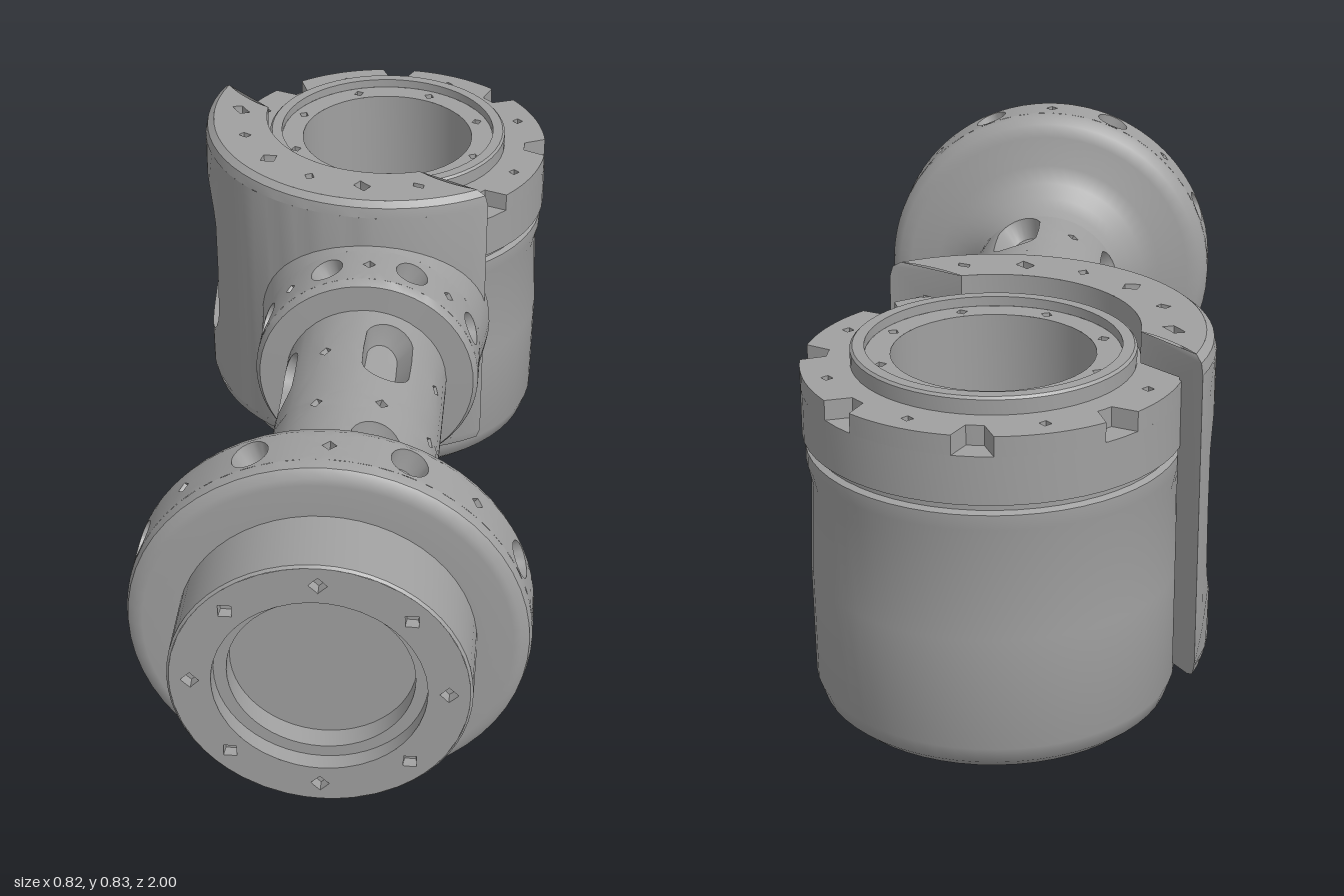
import * as THREE from 'three';
import { mergeGeometries, toCreasedNormals } from 'three/addons/utils/BufferGeometryUtils.js';

const DEG = Math.PI / 180;
const CX = 0.015;
const metal = new THREE.MeshStandardMaterial({ color: 0xa0a0a0, side: THREE.DoubleSide });
metal.name = 'grey metal';

// Joins geometries into one named mesh with crisp edges
function part(name, geos, rule) {
  const clean = geos.map((g) => {
    const n = g.index ? g.toNonIndexed() : g;
    n.deleteAttribute('uv');
    n.deleteAttribute('normal');
    return n;
  });
  const merged = mergeGeometries(clean);
  if (rule) rule(merged.attributes.position);
  merged.computeVertexNormals();
  const mesh = new THREE.Mesh(toCreasedNormals(merged, 0.6), metal);
  mesh.name = name;
  return mesh;
}

function lathe(points, from = 0, to = 360, segs = 56) {
  const pts = points.map(([r, y]) => new THREE.Vector2(r, y));
  return new THREE.LatheGeometry(pts, segs, from * DEG, (to - from) * DEG);
}

// Surface maps: u is an angle, v runs along the axis or (negated) along the radius, d is depth
const wall = (r) => (u, v, d) => [(r - d) * Math.sin(u), v, (r - d) * Math.cos(u)];
const face = (y) => (u, v, d) => [-v * Math.sin(u), y - d, -v * Math.cos(u)];

// Patch of a surface with a sunken hole in its middle
function pitPatch(map, r, u0, u1, v0, v1, { w, h = w, depth, square = false, taper = 0.85 }) {
  const N = 24, uc = (u0 + u1) / 2 * DEG, vc = (v0 + v1) / 2;
  const hu = (u1 - u0) / 2 * DEG, hv = (v1 - v0) / 2;
  const pos = [], idx = [];
  const rect = (c, s) => { const k = 1 / Math.max(Math.abs(c), Math.abs(s)); return [hu * c * k, hv * s * k]; };
  const hole = (c, s) => {
    if (square) { const k = 1 / (Math.abs(c) + Math.abs(s)); return [w * c * k / r, h * s * k]; }
    const straight = Math.abs(s) < 1e-6 ? 0 : Math.sign(s) * (h - w);
    return [w * c / r, straight + w * s];
  };
  const levels = [[0, 1, 0], [0.5, 1, 0], [1, 1, 0], [1, 1, 0.006], [1, taper, depth]];
  for (const [t, k, d] of levels) {
    for (let i = 0; i < N; i++) {
      const a = i / N * Math.PI * 2, c = Math.cos(a), s = Math.sin(a);
      const p = rect(c, s), q = hole(c, s);
      pos.push(...map(uc + (p[0] * (1 - t) + q[0] * t) * k, vc + (p[1] * (1 - t) + q[1] * t) * k, d));
    }
  }
  pos.push(...map(uc, vc, depth));
  for (let i = 0; i < N; i++) {
    const j = (i + 1) % N;
    for (let l = 0; l < levels.length - 1; l++) {
      const o = l * N, n = o + N;
      idx.push(o + i, o + j, n + j, o + i, n + j, n + i);
    }
    const last = (levels.length - 1) * N;
    idx.push(last + i, last + j, levels.length * N);
  }
  const g = new THREE.BufferGeometry();
  g.setAttribute('position', new THREE.Float32BufferAttribute(pos, 3));
  g.setIndex(idx);
  return g;
}

// Full ring of eight patches, alternating two kinds of hole
function pitRing(map, r, first, v0, v1, holeA, holeB) {
  return Array.from({ length: 8 }, (_, i) => {
    const c = first + i * 45;
    return pitPatch(map, r, c - 22.5, c + 22.5, v0, v1, i % 2 ? holeB : holeA);
  });
}

// Ring of sixteen narrow patches: port, socket, port, socket...
function rimRing(r, v0, v1, port, socket) {
  return Array.from({ length: 16 }, (_, i) => {
    const c = i * 22.5;
    return pitPatch(wall(r), r, c - 11.25, c + 11.25, v0, v1, i % 2 ? port : socket);
  });
}

const socket = { w: 0.014, depth: 0.02, square: true };
const port = { w: 0.038, depth: 0.045 };
const slot = { w: 0.056, h: 0.104, depth: 0.05, taper: 0.9 };

function buildArm() {
  const arm = new THREE.Group();
  arm.name = 'arm';
  // Tube with two rows of slots
  const tube = wall(0.18);
  arm.add(part('armTube', [
    ...pitRing(tube, 0.18, 70, -0.05, 0.26, slot, socket),
    ...pitRing(tube, 0.18, 70, 0.26, 0.34, socket, socket),
    ...pitRing(tube, 0.18, 70, 0.34, 0.6, { ...slot, h: 0.1 }, socket),
  ]));
  // Flared flange with ports round its rim
  arm.add(part('endFlange', [
    lathe([[0.18, 0.57], [0.187, 0.6], [0.205, 0.635], [0.235, 0.662], [0.275, 0.678], [0.345, 0.686],
      [0.375, 0.695], [0.39, 0.71], [0.395, 0.725]]),
    ...rimRing(0.395, 0.725, 0.815, port, socket),
    lathe([[0.395, 0.815], [0.39, 0.835], [0.375, 0.848], [0.36, 0.85], [0.28, 0.85]]),
  ]));
  // Spigot with a stepped recess and eight sockets in its face
  arm.add(part('spigot', [
    lathe([[0.29, 0.84], [0.29, 0.995], [0.285, 1]]),
    ...pitRing(face(1), 0.245, 0, -0.285, -0.205, { ...socket, w: 0.018 }, { ...socket, w: 0.018 }),
    lathe([[0.205, 1], [0.205, 0.965], [0.18, 0.965], [0.18, 0.92], [0, 0.92]]),
  ]));
  // Collar against the joint housing
  arm.add(part('collar', [
    lathe([[0.265, -0.3], [0.258, -0.24], [0.25, -0.18]]),
    ...rimRing(0.25, -0.18, -0.06, port, socket),
    lathe([[0.25, -0.06], [0.24, -0.042], [0.17, -0.04]]),
  ]));
  arm.rotation.x = Math.PI / 2;
  arm.position.set(CX, 0.432, 0);
  return arm;
}

function circlePath(r, x = 0, y = 0) {
  return new THREE.Path().absarc(x, y, r, 0, Math.PI * 2, true);
}

function polyPath(points) {
  return new THREE.Path(points.map(([x, y]) => new THREE.Vector2(x, y)));
}

function buildDrum(drum) {
  drum.add(part('drumBody', [lathe([[0.3, 0], [0.33, 0.01], [0.352, 0.03], [0.364, 0.065], [0.367, 0.3],
    [0.36, 0.49], [0.369, 0.53], [0.369, 0.56], [0.357, 0.565], [0.357, 0.578], [0.375, 0.583],
    [0.375, 0.68], [0.27, 0.68]])]));

  // Notched top ring with small sockets
  const outline = Array.from({ length: 120 }, (_, i) => {
    const a = i * 3 * DEG, r = (i + 1) % 15 < 3 ? 0.325 : 0.375;
    return new THREE.Vector2(r * Math.cos(a), r * Math.sin(a));
  });
  const ring = new THREE.Shape(outline);
  ring.holes.push(circlePath(0.24));
  for (let i = 0; i < 8; i++) {
    const a = (i + 0.5) * 45 * DEG, x = 0.33 * Math.cos(a), y = 0.33 * Math.sin(a), s = 0.012;
    ring.holes.push(polyPath([[x - s, y], [x, y + s], [x + s, y], [x, y - s]]));
  }
  drum.add(part('notchedRing', [new THREE.ExtrudeGeometry(ring, { depth: 0.04, bevelEnabled: false, curveSegments: 24 })
    .rotateX(-Math.PI / 2).translate(0, 0.68, 0)]));

  // Raised hub, deep bore and cable hole
  drum.add(part('hubBore', [
    lathe([[0.278, 0.71], [0.278, 0.75], [0.273, 0.755], [0.25, 0.755], [0.25, 0.735]]),
    ...pitRing(face(0.735), 0.225, 22.5, -0.25, -0.2, { ...socket, w: 0.012 }, { ...socket, w: 0.012 }),
    lathe([[0.2, 0.735], [0.2, 0.42], [0.13, 0.42], [0.13, 0.38], [0.09, 0.38], [0.09, 0.3]]),
  ]));

  // Underside plate with a cable slot and a barred window
  const plate = new THREE.Shape().absarc(0, 0, 0.302, 0, Math.PI * 2, false);
  plate.holes.push(new THREE.Path().absarc(0, 0, 0.092, Math.PI / 2, Math.PI * 1.5, false)
    .absarc(0.17, 0.02, 0.075, -Math.PI / 2, Math.PI / 2, false));
  for (const [a, b] of [[-0.16, -0.06], [-0.045, 0.045], [0.06, 0.16]]) {
    plate.holes.push(polyPath([[a, -0.12], [b, -0.12], [b * 0.85, -0.24], [a * 0.85, -0.24]]));
  }
  drum.add(part('undersidePlate', [new THREE.ExtrudeGeometry(plate, { depth: 0.05, bevelEnabled: false, curveSegments: 28 })
    .rotateX(Math.PI / 2).translate(0, 0.05, 0)]));
}

function buildShell(drum) {
  const from = -109, to = 36, split = -56, mid = (from + to) / 2;
  const low = [[0.285, 0.79], [0.285, 0.725], [0.37, 0.725], [0.37, 0.11], [0.41, 0.11], [0.424, 0.118], [0.43, 0.14]];
  const high = [[0.43, 0.755], [0.425, 0.778], [0.41, 0.79]];
  const section = new THREE.Shape([...low, ...high].map(([r, y]) => new THREE.Vector2(r, y)));
  const cap = (u) => new THREE.ShapeGeometry(section).rotateY(u * DEG - Math.PI / 2);
  const geos = [
    lathe(low, from, to, 28), lathe(high, from, to, 28),
    lathe([[0.43, 0.14], [0.43, 0.755]], split, to, 18),
    pitPatch(wall(0.43), 0.43, from, split, 0.14, 0.755, { w: 0.13, h: 0.22, depth: 0.056, taper: 0.97 }),
    cap(from), cap(to),
  ];
  // Sockets along the top lip
  const step = (to - from) / 6;
  for (let i = 0; i < 6; i++) {
    geos.push(pitPatch(face(0.79), 0.345, from + i * step, from + (i + 1) * step, -0.41, -0.285,
      { ...socket, w: i % 2 ? 0.014 : 0.022 }));
  }
  // Slants both ends so the outer edge reaches furthest
  drum.add(part('wrapShell', geos, (p) => {
    for (let i = 0; i < p.count; i++) {
      const x = p.getX(i), z = p.getZ(i), r = Math.hypot(x, z);
      const u = mid * DEG + (Math.atan2(x, z) - mid * DEG) * (1 - 1.6 * (0.43 - r));
      p.setX(i, r * Math.sin(u));
      p.setZ(i, r * Math.cos(u));
    }
  }));
}

export function createModel() {
  const model = new THREE.Group();
  model.name = 'robotArmLink';
  model.add(buildArm());
  const drum = new THREE.Group();
  drum.name = 'jointDrum';
  buildDrum(drum);
  buildShell(drum);
  drum.position.set(CX, 0, -0.625);
  model.add(drum);
  return model;
}
